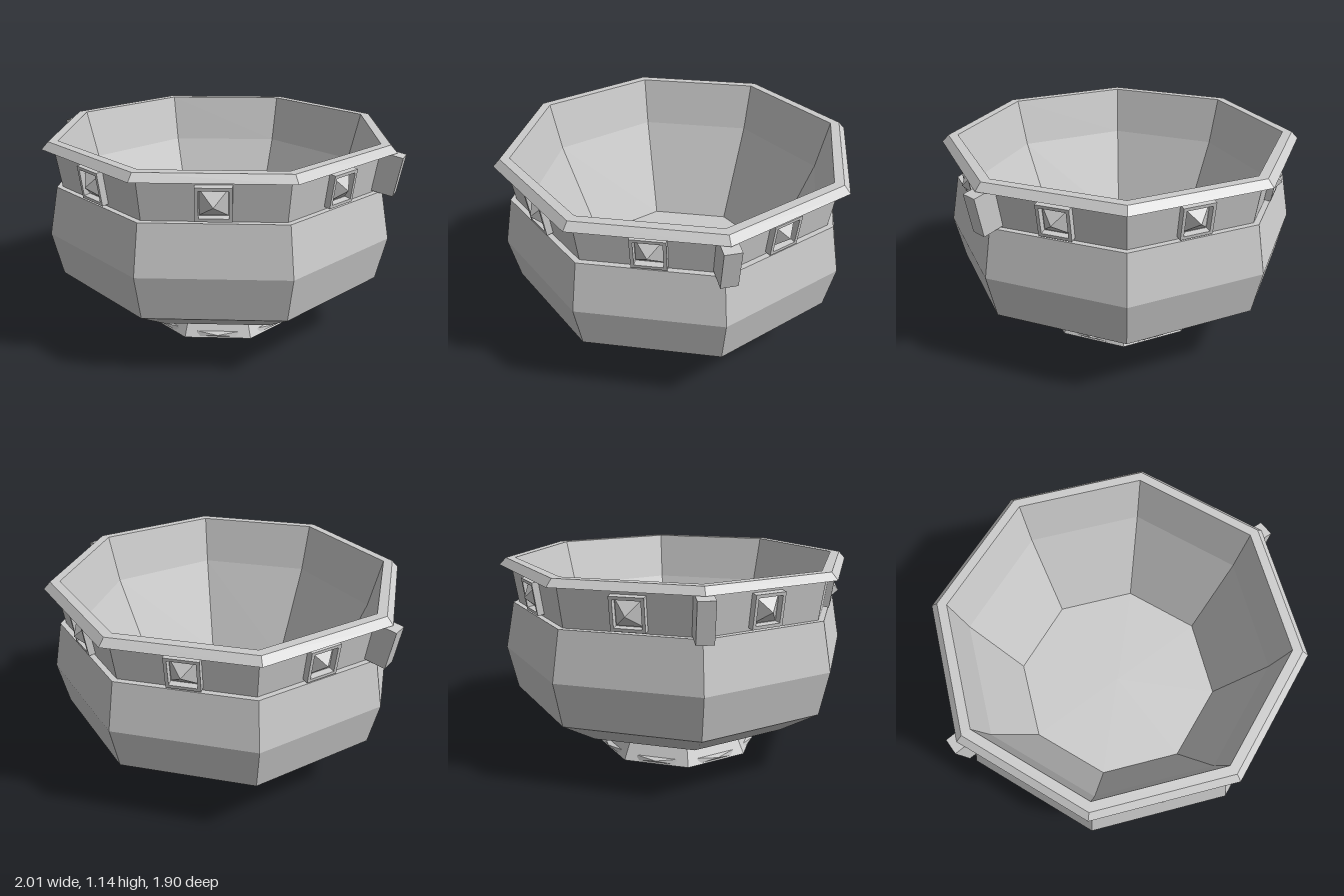
import * as THREE from 'three';

const SIDES = 8;
const STEP = Math.PI / 4;

const makeMaterial = () => new THREE.MeshStandardMaterial({ color: 0xcccccc, flatShading: true });

// Octagonal ring from [distance to flat side, height] pairs, flats facing the axes
function octagon(name, profile, material) {
  const k = 1 / Math.cos(Math.PI / SIDES);
  const points = profile.map(([a, y]) => new THREE.Vector2(a * k, y));
  const mesh = new THREE.Mesh(new THREE.LatheGeometry(points, SIDES, Math.PI / SIDES), material);
  mesh.name = name;
  return mesh;
}

// Four-sided pyramid pointing along +z, its base on z = 0
function pyramid(width, height, depth) {
  return new THREE.ConeGeometry(Math.SQRT1_2, 1, 4)
    .rotateY(Math.PI / 4)
    .translate(0, 0.5, 0)
    .rotateX(Math.PI / 2)
    .scale(width, height, depth);
}

// Square frame with a hole, extruded along +z
function squareFrame(outer, inner, depth) {
  const corners = (s) => [[-s, -s], [s, -s], [s, s], [-s, s]].map(([x, y]) => new THREE.Vector2(x, y));
  const shape = new THREE.Shape(corners(outer / 2));
  shape.holes.push(new THREE.Path(corners(inner / 2).reverse()));
  return new THREE.ExtrudeGeometry(shape, { depth, bevelEnabled: false });
}

// Puts geometries on a side of the pot: turned about y, moved out, leaning by tilt
function placeOnSide(name, geometries, material, angle, distance, height, tilt) {
  const pivot = new THREE.Group();
  pivot.name = name;
  pivot.rotation.y = angle;
  const holder = new THREE.Group();
  holder.position.set(0, height, distance);
  holder.rotation.x = tilt;
  for (const [part, geometry] of Object.entries(geometries)) {
    const mesh = new THREE.Mesh(geometry, material);
    mesh.name = part;
    holder.add(mesh);
  }
  pivot.add(holder);
  return pivot;
}

export function createModel() {
  const model = new THREE.Group();
  model.name = 'pot';
  const material = makeMaterial();

  // Foot, closed underneath
  model.add(octagon('foot', [[0, 0], [0.46, 0], [0.4, 0.125]], material));

  // Outer bowl with a ledge where the band begins
  model.add(octagon('bowl', [
    [0.4, 0.125], [0.68, 0.215], [0.89, 0.36], [0.94, 0.61], [0.89, 0.88], [0.86, 0.88],
  ], material));

  // Band leaning slightly outward
  model.add(octagon('band', [[0.86, 0.88], [0.89, 1.1]], material));

  // Overhanging rim
  model.add(octagon('rim', [[0.89, 1.1], [0.95, 1.1], [0.915, 1.14], [0.865, 1.14]], material));

  // Inside walls and floor
  model.add(octagon('inside', [[0.865, 1.14], [0.8, 0.86], [0.575, 0.28], [0, 0.28]], material));

  // Framed studs on the band and flat studs round the foot
  const bandStud = {
    studFrame: squareFrame(0.18, 0.145, 0.036),
    studPoint: pyramid(0.14, 0.14, 0.065),
  };
  const footStud = { footStudPoint: pyramid(0.24, 0.032, 0.03) };
  for (let i = 0; i < SIDES; i++) {
    model.add(placeOnSide('bandStud', bandStud, material, i * STEP, 0.874, 0.985, 0.135));
    model.add(placeOnSide('footStud', footStud, material, i * STEP, 0.449, 0.02, -0.2));
  }

  // Two block lugs on opposite corners
  const lug = { lugBlock: new THREE.BoxGeometry(0.09, 0.22, 0.14) };
  for (const turn of [0, Math.PI]) {
    model.add(placeOnSide('lug', lug, material, Math.PI * 0.625 + turn, 0.98, 0.99, 0.17));
  }

  return model;
}
